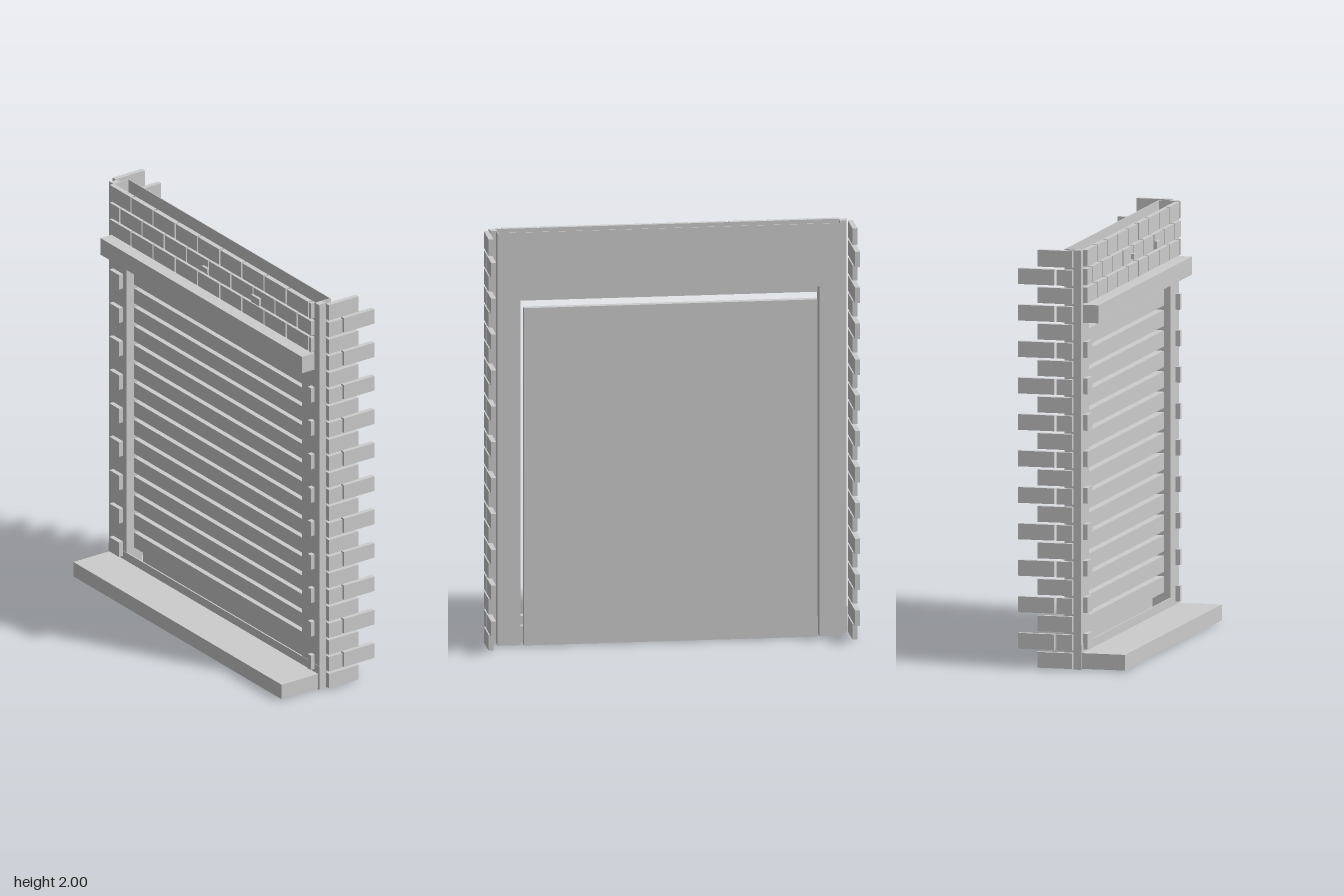
import * as THREE from 'three';

export function createModel() {
  const root = new THREE.Group();
  const stone = new THREE.MeshStandardMaterial({ color: 0xcccccc });
  stone.name = 'plain grey';

  // box given by its min and max corners
  function block(name, x0, x1, y0, y1, z0, z1, parent = root) {
    const mesh = new THREE.Mesh(new THREE.BoxGeometry(x1 - x0, y1 - y0, z1 - z0), stone);
    mesh.position.set((x0 + x1) / 2, (y0 + y1) / 2, (z0 + z1) / 2);
    mesh.name = name;
    parent.add(mesh);
    return mesh;
  }
  function group(name) {
    const g = new THREE.Group();
    g.name = name;
    root.add(g);
    return g;
  }

  // thin wall sheet with the doorway cut out of it
  const doorL = -0.712, doorR = 0.71, soffitY = 1.695;
  function sheet(name, halfWidth, doorTop, z) {
    const outline = new THREE.Shape([
      [-halfWidth, 0], [doorL, 0], [doorL, doorTop], [doorR, doorTop],
      [doorR, 0], [halfWidth, 0], [halfWidth, 2], [-halfWidth, 2],
    ].map(([x, y]) => new THREE.Vector2(x, y)));
    const mesh = new THREE.Mesh(
      new THREE.ExtrudeGeometry(outline, { depth: 0.004, bevelEnabled: false }), stone);
    mesh.position.z = z;
    mesh.name = name;
    root.add(mesh);
  }

  // hollow wall, open at the top: two sheets, door lining and end walls
  sheet('frontSheet', 0.853, 1.655, 0.041);
  sheet('rearSheet', 0.82, soffitY, -0.045);
  block('doorLining', doorL - 0.004, doorL, 0, soffitY, -0.043, 0.042);
  block('doorLining', doorR, doorR + 0.004, 0, soffitY, -0.043, 0.042);
  block('doorSoffit', doorL, doorR, soffitY, soffitY + 0.004, -0.043, 0.042);
  for (const s of [-1, 1]) {
    block('endWall', 0.816, 0.82, 0, 2, -0.043, 0.042).position.x *= s;
    block('cornerStrip', 0.82, 0.847, 0, 2, 0.005, 0.042).position.x *= s;
  }

  // lintel, baseboard and sill
  block('lintel', -0.82, 0.815, 1.652, 1.738, 0.03, 0.12);
  block('baseboard', -0.857, 0.857, 0, 0.122, 0.04, 0.047);
  block('sill', -0.845, 0.845, 0.005, 0.08, 0.003, 0.258);

  // roller shutter
  const shutter = group('shutter');
  block('shutterPanel', -0.698, 0.698, 0.005, 1.64, -0.075, -0.04, shutter);
  for (let i = 0; i < 15; i++) {
    const y = 0.152 + i * 0.0977;
    block('slat', -0.685, 0.68, y, y + 0.077, -0.04, 0.02, shutter);
  }

  const pitch = 2 / 23;
  const rowBottom = (r) => r * pitch + 0.007;
  const brickHeight = 0.075;

  // toothed brick returns on both sides, and quoins on the front
  const sides = group('sideBricks');
  const quoins = group('quoins');
  for (let r = 0; r < 23; r++) {
    const y0 = rowBottom(r), y1 = r === 22 ? 2 : y0 + brickHeight;
    const spans = r % 2 ? [[-0.07, 0.008], [-0.257, -0.08]] : [[-0.163, 0.008]];
    for (const s of [-1, 1]) {
      for (const [z0, z1] of spans) {
        block('sideBrick', 0.854, 0.878, y0, y1, z0, z1, sides).position.x *= s;
      }
    }
    if (r % 2 && r < 19) {
      block('quoin', -0.82, -0.74, y0, y1, 0.042, 0.068, quoins);
      block('quoin', 0.79, 0.815, y0, y1, 0.042, 0.068, quoins);
    }
  }

  // brick courses above the lintel
  const courses = group('brickCourses');
  for (let r = 20; r < 23; r++) {
    const y0 = rowBottom(r), y1 = r === 22 ? 2 : y0 + brickHeight;
    const firstJoint = r === 21 ? -0.737 : -0.647;
    for (let k = 0; k < 10; k++) {
      const x0 = Math.max(-0.82, firstJoint + (k - 1) * 0.18 + 0.005);
      const x1 = Math.min(0.815, firstJoint + k * 0.18 - 0.005);
      if (x1 - x0 > 0.01) block('brick', x0, x1, y0, y1, 0.042, 0.066, courses);
    }
  }

  // small raised chips on the middle course
  block('chip', -0.055, -0.012, 1.848, 1.872, 0.066, 0.08);
  block('chip', 0.348, 0.41, 1.838, 1.874, 0.066, 0.08);

  return root;
}
